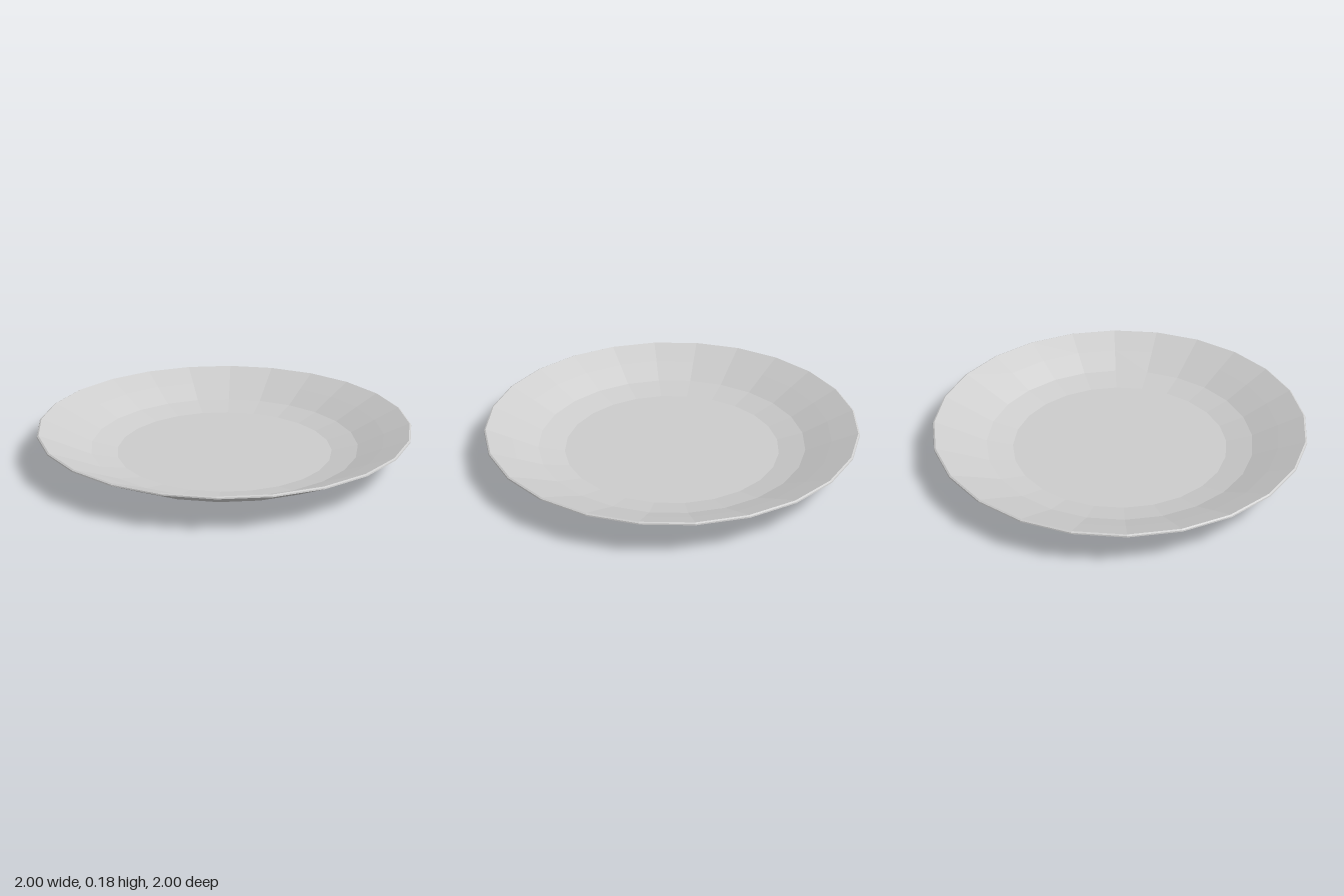
import * as THREE from 'three';

export function createModel() {
  const model = new THREE.Group();
  model.name = 'plate';

  const glaze = new THREE.MeshStandardMaterial({ color: 0xcccccc, flatShading: true });
  glaze.name = 'light grey glaze';

  // Revolve a [radius, height] profile into a 24-sided faceted part
  const addRing = (name, profile) => {
    const points = profile.map(([r, y]) => new THREE.Vector2(r, y));
    const mesh = new THREE.Mesh(new THREE.LatheGeometry(points, 24), glaze);
    mesh.name = name;
    model.add(mesh);
  };

  // Flat foot and flaring underside
  addRing('underside', [[0, 0], [0.62, 0], [0.77, 0.05], [0.88, 0.106], [1, 0.168]]);
  // Thin bevelled lip
  addRing('rim', [[1, 0.168], [0.998, 0.174], [0.99, 0.178]]);
  // Sloping inner wall, stepping down to the floor
  addRing('innerWall', [[0.99, 0.178], [0.855, 0.117], [0.72, 0.053], [0.58, 0.02]]);
  // Flat eating surface
  addRing('floor', [[0.58, 0.02], [0, 0.02]]);

  return model;
}
